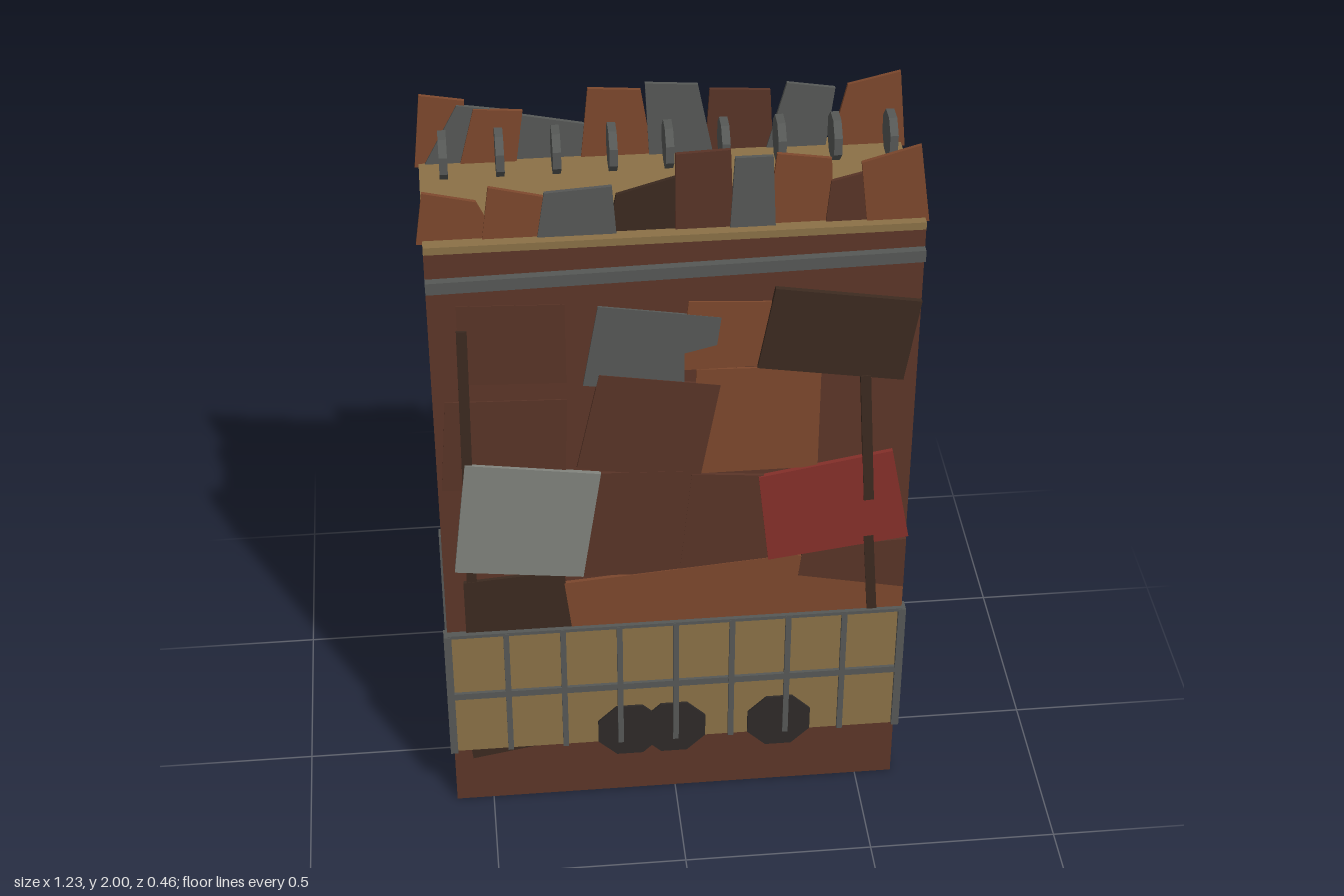
import * as THREE from 'three';

const BODY = 0x5c3628, BROWN = 0x593427, RUST = 0x7d482d, DARK = 0x3c2a20, STEEL = 0x565856,
  PALE = 0x80827c, RED = 0x86302a, TAN = 0x8b7147, TYRE = 0x2e2a28;

const mats = {};
const mat = (c) => (mats[c] ??= new THREE.MeshStandardMaterial({ color: c, flatShading: true }));

function add(parent, name, geo, color, x = 0, y = 0, z = 0, rz = 0) {
  const m = new THREE.Mesh(geo, mat(color));
  m.name = name;
  m.position.set(x, y, z);
  m.rotation.z = rz;
  parent.add(m);
  return m;
}
const box = (w, h, d) => new THREE.BoxGeometry(w, h, d);

// Thin sheet from corner pairs, extruded towards +z
function sheet(parent, name, color, p, z, depth) {
  const pts = [];
  for (let i = 0; i < p.length; i += 2) pts.push(new THREE.Vector2(p[i], p[i + 1]));
  const geo = new THREE.ExtrudeGeometry(new THREE.Shape(pts), { depth, bevelEnabled: false });
  return add(parent, name, geo, color, 0, 0, z);
}

// Straight rod between two points on the wall
function rod(parent, x0, y0, x1, y1, z) {
  const len = Math.hypot(x1 - x0, y1 - y0);
  add(parent, 'rod', box(0.026, len, 0.012), DARK, (x0 + x1) / 2, (y0 + y1) / 2, z, Math.atan2(x0 - x1, y1 - y0));
}

// Everything fixed to one long face: patches, rods, cage, discs, rail, parapet
function buildFace(name, { patches, rods, discs, parapet, railTilt }) {
  const g = new THREE.Group();
  g.name = name;

  patches.forEach(([c, ...p], i) => sheet(g, 'patch', c, p, 0.203, 0.006 + i * 0.0008));
  rods.forEach(([x0, y0, x1, y1, z]) => rod(g, x0, y0, x1, y1, z));

  // caged window band
  add(g, 'cagePanel', box(1.2, 0.41, 0.02), TAN, 0, 0.395, 0.2095);
  for (let i = 0; i < 9; i++) {
    const end = i === 0 || i === 8;
    add(g, 'cageBar', box(end ? 0.02 : 0.015, 0.41, end ? 0.035 : 0.012), STEEL,
      end ? (i ? 0.6 : -0.6) : -0.596 + i * 0.149, 0.395, end ? 0.2125 : 0.223);
  }
  add(g, 'cageRail', box(1.2, 0.02, 0.012), STEEL, 0, 0.39, 0.222);
  add(g, 'cageTopRail', box(1.2, 0.01, 0.018), STEEL, 0, 0.598, 0.219);
  discs.forEach((x) => {
    const d = add(g, 'disc', new THREE.CylinderGeometry(0.092, 0.092, 0.025, 8).rotateY(Math.PI / 8), TYRE, x, 0.23, 0.213);
    d.rotation.x = Math.PI / 2;
  });

  // steel rail below the roof
  add(g, 'roofRail', box(1.2, 0.032, 0.025), STEEL, 0, 1.695, 0.215, railTilt);

  // ragged parapet of overlapping sheets
  parapet.forEach(([c, x0, x1, t0, y0, t1, y1], i) =>
    sheet(g, 'parapetSheet', c, [x0, 1.78, x1, 1.78, t1, y1, t0, y0], 0.168 + (i % 3) * 0.005, 0.01));
  return g;
}

const front = {
  railTilt: 0.017,
  discs: [-0.125, -0.005, 0.28],
  patches: [
    [BROWN, -0.53, 1.39, -0.27, 1.38, -0.27, 1.61, -0.53, 1.62],
    [BROWN, -0.59, 1.07, -0.28, 1.05, -0.27, 1.33, -0.57, 1.34],
    [DARK, -0.55, 0.15, -0.28, 0.2, -0.28, 0.25, -0.56, 0.25],
    [RUST, 0.01, 1.4, 0.36, 1.4, 0.36, 1.58, 0.03, 1.6],
    [STEEL, -0.23, 1.37, 0.02, 1.34, 0.02, 1.45, 0.1, 1.47, 0.11, 1.55, -0.19, 1.6],
    [RUST, 0.04, 1.08, 0.36, 1.08, 0.36, 1.39, 0.05, 1.4],
    [BROWN, -0.25, 1.12, 0.06, 1.06, 0.11, 1.35, -0.19, 1.4],
    [BROWN, -0.24, 0.77, 0.02, 0.76, 0.04, 1.09, -0.22, 1.1],
    [BROWN, 0.01, 0.77, 0.24, 0.79, 0.25, 1.06, 0.04, 1.08],
    [DARK, -0.55, 0.58, -0.27, 0.58, -0.29, 0.79, -0.55, 0.77],
    [RUST, -0.27, 0.57, 0.6, 0.57, 0.6, 0.68, 0.31, 0.8, -0.29, 0.75],
    [BROWN, 0.32, 0.73, 0.6, 0.67, 0.6, 0.83, 0.33, 0.82],
    [PALE, -0.57, 0.81, -0.24, 0.77, -0.19, 1.1, -0.53, 1.15],
    [RED, 0.24, 0.79, 0.605, 0.84, 0.55, 1.12, 0.21, 1.06],
    [DARK, 0.2, 1.4, 0.565, 1.34, 0.6, 1.57, 0.24, 1.63],
  ],
  rods: [[-0.52, 1.55, -0.53, 0.6, 0.209], [0.47, 1.36, 0.495, 0.97, 0.217], [0.5, 0.85, 0.52, 0.59, 0.214]],
  // colour, base left, base right, top left x/y, top right x/y
  parapet: [
    [RUST, -0.615, -0.42, -0.595, 1.92, -0.47, 1.89],
    [RUST, -0.46, -0.29, -0.44, 1.93, -0.28, 1.89],
    [STEEL, -0.33, -0.14, -0.31, 1.91, -0.15, 1.92],
    [DARK, -0.16, 0.01, -0.14, 1.89, 0, 1.93],
    [BROWN, 0, 0.14, 0, 1.995, 0.13, 2],
    [STEEL, 0.13, 0.24, 0.14, 1.98, 0.23, 1.98],
    [RUST, 0.22, 0.38, 0.24, 1.98, 0.37, 1.96],
    [BROWN, 0.36, 0.48, 0.37, 1.9, 0.49, 1.93],
    [RUST, 0.46, 0.61, 0.44, 1.95, 0.58, 1.99],
  ],
};

// Seen from behind: local +x is the model's -x
const back = {
  railTilt: 0,
  discs: [-0.2, 0.055],
  patches: [
    [BROWN, -0.58, 1.36, -0.3, 1.36, -0.29, 1.6, -0.58, 1.64],
    [BROWN, 0.2, 1.05, 0.58, 1.04, 0.58, 1.34, 0.22, 1.35],
    [RUST, 0.24, 0.16, 0.38, 0.16, 0.38, 0.25, 0.22, 0.25],
    [RUST, -0.585, 1.11, -0.3, 1.12, -0.3, 1.3, -0.585, 1.3],
    [RUST, 0.025, 1.06, 0.23, 1.05, 0.23, 1.36, 0.025, 1.39],
    [BROWN, -0.28, 1.0, 0, 1.03, 0.01, 1.3, -0.3, 1.3],
    [DARK, -0.23, 0.78, 0.04, 0.82, 0.04, 0.99, -0.22, 0.99],
    [STEEL, -0.6, 0.57, -0.28, 0.57, -0.285, 0.77, -0.56, 0.75],
    [DARK, 0.34, 0.73, 0.58, 0.75, 0.58, 0.95, 0.35, 0.94],
    [DARK, 0.17, 0.57, 0.58, 0.57, 0.58, 0.65, 0.18, 0.7],
    [RED, -0.285, 0.57, -0.02, 0.57, -0.01, 0.83, -0.27, 0.815],
    [STEEL, 0.06, 0.74, 0.33, 0.71, 0.35, 0.94, 0.085, 0.965],
    [PALE, -0.6, 0.78, -0.35, 0.77, -0.313, 1.12, -0.563, 1.11],
    [TAN, -0.335, 1.26, 0, 1.31, 0.01, 1.63, -0.3, 1.56],
  ],
  rods: [[0.02, 1.54, 0.03, 0.62, 0.214], [0.39, 1.535, 0.39, 0.7, 0.214]],
  parapet: [
    [RUST, -0.61, -0.42, -0.59, 1.99, -0.46, 1.96],
    [STEEL, -0.41, -0.26, -0.43, 1.95, -0.31, 1.97],
    [BROWN, -0.28, -0.11, -0.27, 1.95, -0.12, 1.96],
    [STEEL, -0.13, 0.03, -0.09, 1.98, 0.04, 1.99],
    [RUST, 0.02, 0.2, 0.05, 1.97, 0.18, 1.98],
    [STEEL, 0.18, 0.4, 0.19, 1.88, 0.38, 1.92],
    [RUST, 0.36, 0.5, 0.34, 1.93, 0.46, 1.94],
    [STEEL, 0.46, 0.59, 0.38, 1.93, 0.5, 1.95],
    [RUST, 0.5, 0.61, 0.48, 1.96, 0.59, 1.98],
  ],
};

export function createModel() {
  const model = new THREE.Group();
  model.name = 'scrapWall';

  // core slab and plank deck
  add(model, 'body', box(1.2, 1.77, 0.414), BODY, 0, 0.885, 0);
  add(model, 'deck', box(1.2, 0.02, 0.42), TAN, 0, 1.78, 0);

  // row of upright discs along the deck
  for (let i = 0; i < 9; i++) {
    const geo = new THREE.CylinderGeometry(0.059, 0.059, 0.02, 8).rotateY(Math.PI / 8).rotateZ(Math.PI / 2);
    add(model, 'deckDisc', geo, STEEL, -0.54 + i * 0.135, 1.917, 0);
  }

  model.add(buildFace('frontFace', front));
  const rear = buildFace('backFace', back);
  rear.rotation.y = Math.PI;
  model.add(rear);
  return model;
}
